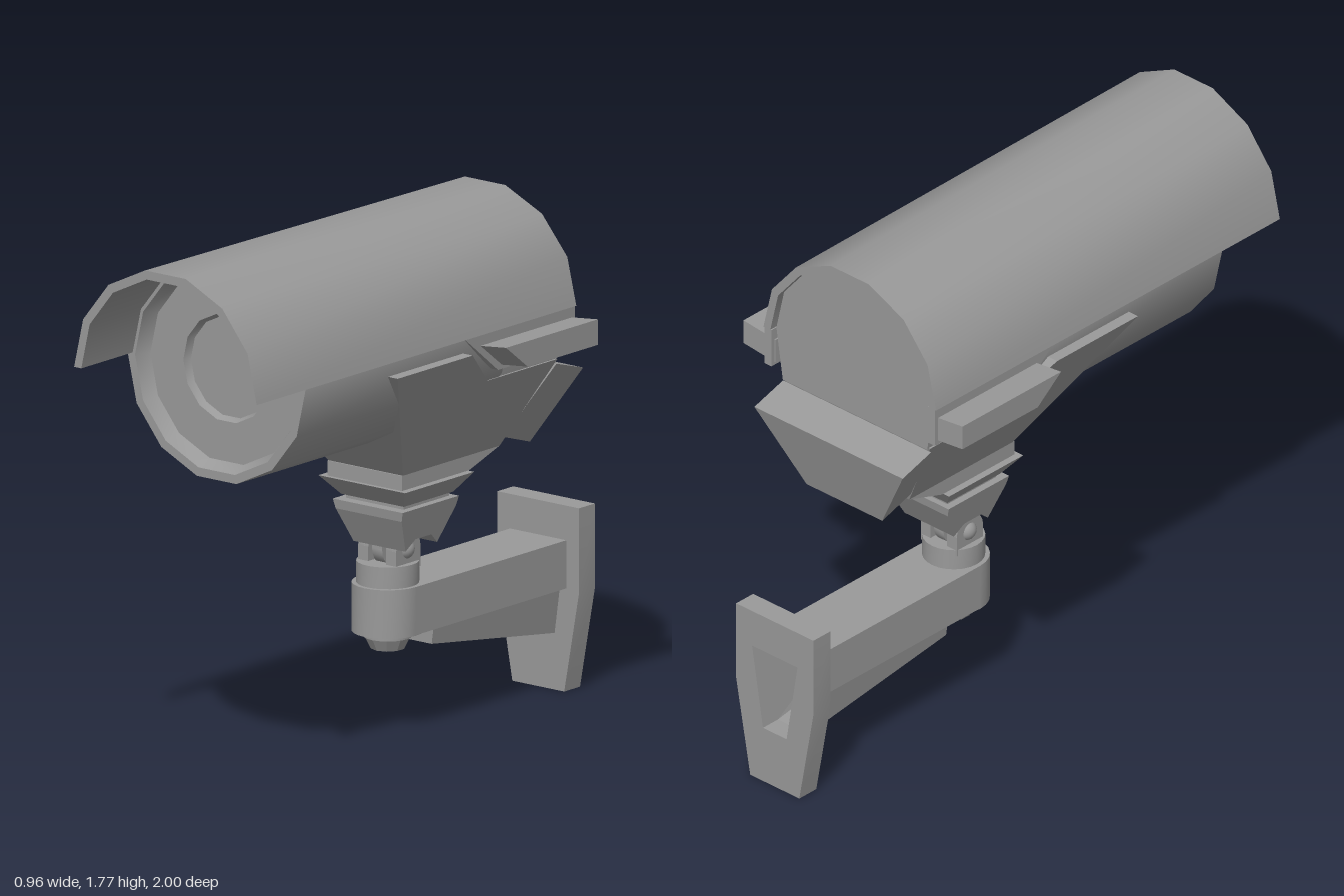
import * as THREE from 'three';
import { toCreasedNormals } from 'three/addons/utils/BufferGeometryUtils.js';

const mat = new THREE.MeshStandardMaterial({ color: 0x999999 });
const matDouble = new THREE.MeshStandardMaterial({ color: 0x999999, side: THREE.DoubleSide });
const AXIS_Y = 1.39;   // height of the housing axis
const ARM_X = -0.025;  // the wall arm sits slightly off centre
const JOINT_Z = -0.157;

const shapeOf = pts => new THREE.Shape(pts.map(p => new THREE.Vector2(p[0], p[1])));
const crease = g => toCreasedNormals(g, 0.55);

// Side outline of [z, y] points, spanning x0(y, z)..x1(y, z)
function sideProfile(pts, x0, x1) {
  const g = new THREE.ExtrudeGeometry(shapeOf(pts), { depth: 1, bevelEnabled: false });
  g.rotateY(-Math.PI / 2);
  const p = g.attributes.position;
  for (let i = 0; i < p.count; i++) {
    const y = p.getY(i), z = p.getZ(i);
    p.setX(i, THREE.MathUtils.lerp(x0(y, z), x1(y, z), p.getX(i) + 1));
  }
  g.computeVertexNormals();
  return g;
}
const symmetric = (pts, half) => sideProfile(pts, (y, z) => -half(y, z), half);

// Front outline of [x, y] points, extruded from z0 to z1
function frontProfile(shape, z0, z1) {
  const g = new THREE.ExtrudeGeometry(shape, { depth: z1 - z0, bevelEnabled: false });
  return crease(g.translate(0, 0, z0));
}

// Skin between two equal loops of [x, y, z] points, closed at the second
function loft(a, b) {
  const v = [], n = a.length;
  for (let i = 0; i < n; i++) {
    const j = (i + 1) % n;
    v.push(...a[i], ...a[j], ...b[j], ...a[i], ...b[j], ...b[i]);
  }
  THREE.ShapeUtils.triangulateShape(b.map(p => new THREE.Vector2(p[0], p[1])), [])
    .forEach(t => t.forEach(i => v.push(...b[i])));
  const g = new THREE.BufferGeometry();
  g.setAttribute('position', new THREE.Float32BufferAttribute(v, 3));
  g.computeVertexNormals();
  return g;
}

// Points on the upper half circle, seven facets, from +x round to -x
function arch(r) {
  const pts = [];
  for (let i = 0; i <= 7; i++) {
    const a = Math.PI * i / 7;
    pts.push([r * Math.cos(a), AXIS_Y + 0.005 + r * Math.sin(a)]);
  }
  return pts;
}

export function createModel() {
  const model = new THREE.Group();
  const add = (name, geometry, material = mat) => {
    const m = new THREE.Mesh(geometry, material);
    m.name = name;
    model.add(m);
  };
  const cylinder = (name, rTop, rBottom, y0, y1, sides = 24) =>
    add(name, crease(new THREE.CylinderGeometry(rTop, rBottom, y1 - y0, sides)
      .translate(ARM_X, (y0 + y1) / 2, JOINT_Z)));

  // Camera barrel with stepped front and recessed lens window
  const profile = [[0.37, -0.3], [0.37, 0.74], [0.34, 0.74], [0.317, 0.69],
    [0.18, 0.69], [0.169, 0.665], [0, 0.665]].map(p => new THREE.Vector2(...p));
  const barrel = new THREE.LatheGeometry(profile, 14, Math.PI / 14).rotateX(Math.PI / 2);
  add('barrel', crease(barrel.translate(0, AXIS_Y, 0)), matDouble);

  // Sun shield, its crown dropping slightly towards the back
  const shield = frontProfile(shapeOf([...arch(0.38), ...arch(0.35).reverse()]), -0.62, 1);
  const sp = shield.attributes.position;
  for (let i = 0; i < sp.count; i++) {
    const y = sp.getY(i);
    sp.setY(i, y - 0.03 * (1 - sp.getZ(i)) * (y - AXIS_Y));
  }
  add('sunShield', shield);

  // Rear skirts of the shield and the closed rear body
  for (const s of [-1, 1]) {
    const inner = s * 0.345, outer = s * 0.375;
    add('shieldSkirt', sideProfile(
      [[-0.06, 1.396], [-0.62, 1.396], [-0.62, 1.26], [-0.23, 1.26]],
      () => Math.min(inner, outer), () => Math.max(inner, outer)));
  }
  add('rearBody', frontProfile(
    shapeOf([[0.318, 1.21], ...arch(0.346), [-0.318, 1.21]]), -0.595, -0.25));

  // Side wings with slanted front ends
  for (const s of [-1, 1]) {
    const g = sideProfile([[-0.14, 1.37], [-0.25, 1.285], [-0.605, 1.285], [-0.605, 1.37]],
      () => (s > 0 ? 0.34 : -0.482), () => (s > 0 ? 0.482 : -0.34));
    const p = g.attributes.position;
    for (let i = 0; i < p.count; i++) {
      if (Math.abs(p.getX(i)) < 0.4) p.setY(i, p.getY(i) - 0.015);
    }
    g.computeVertexNormals();
    add('sideWing', g);
  }

  // V-shaped cradle and the tilted box at its back
  add('cradle', symmetric([[0.31, 1.345], [-0.07, 1.345], [-0.235, 1.215], [-0.59, 1.215],
    [-0.505, 0.915], [-0.015, 0.915]], y => 0.155 + (y - 0.915) * 0.57));
  add('rearBox', symmetric([[-0.585, 1.2], [-0.72, 1.16], [-0.645, 0.902], [-0.51, 0.945]],
    (y, z) => 0.326 + (y - 0.3 * (z + 0.585) - 1.2) * 0.57));

  // Neck block, flange and notched socket
  add('neckBlock', symmetric([[-0.01, 0.915], [-0.505, 0.915], [-0.35, 0.865], [-0.01, 0.865]],
    () => 0.155));
  add('neckFlange', symmetric([[0.005, 0.865], [-0.345, 0.865], [-0.3, 0.8], [-0.05, 0.8]],
    y => 0.13 + (y - 0.8) * 0.77));
  add('neckStem', symmetric([[-0.06, 0.8], [-0.29, 0.8], [-0.29, 0.78], [-0.06, 0.78]], () => 0.12));
  add('neckSocket', symmetric([[-0.025, 0.787], [-0.03, 0.755], [-0.085, 0.64], [-0.125, 0.675],
    [-0.205, 0.675], [-0.245, 0.64], [-0.305, 0.755], [-0.31, 0.787]],
    y => 0.108 + (y - 0.64) * 0.255));

  // Hinge knuckles and round-headed pin
  const hingeZ = JOINT_Z - 0.008;
  for (const i of [-1, 0, 1]) {
    const x = ARM_X + i * 0.058;
    add('hingeKnuckle', crease(new THREE.CylinderGeometry(0.062, 0.062, 0.042, 20)
      .rotateZ(Math.PI / 2).translate(x, 0.623, hingeZ)));
    add('hingeLug', new THREE.BoxGeometry(0.042, 0.07, 0.124).translate(x, i ? 0.59 : 0.66, hingeZ));
  }
  add('hingePin', new THREE.CapsuleGeometry(0.036, 0.12, 6, 16)
    .rotateZ(Math.PI / 2).translate(ARM_X, 0.623, hingeZ));

  // Swivel column with a faceted nut underneath
  cylinder('swivelCollar', 0.102, 0.102, 0.5, 0.577);
  cylinder('swivelBody', 0.117, 0.117, 0.343, 0.505);
  cylinder('swivelNeck', 0.08, 0.08, 0.325, 0.345);
  cylinder('swivelNut', 0.078, 0.056, 0.285, 0.328, 10);

  // Arm with a tapering gusset beneath, hollowed from the wall end
  const armLoop = (z, low) => {
    const w = 0.09 - (0.345 - low) * 0.14;
    return [[-0.117, 0.505], [-0.117, 0.345], [-0.09, 0.345], [-w, low],
      [w, low], [0.09, 0.345], [0.117, 0.345], [0.117, 0.505]].map(([x, y]) => [x + ARM_X, y, z]);
  };
  const hollowLoop = (z, low) => [[-0.1, 0.49], [-0.052, low], [0.052, low], [0.1, 0.49]]
    .map(([x, y]) => [x + ARM_X, y, z]);
  add('armShell', loft(armLoop(-0.93, 0.187), armLoop(-0.28, 0.285)), matDouble);
  add('armHollow', loft(hollowLoop(-0.93, 0.2), hollowLoop(-0.34, 0.3)), matDouble);
  add('armHead', new THREE.BoxGeometry(0.234, 0.16, 0.14).translate(ARM_X, 0.425, -0.225));

  // Wall plate, open where the arm is hollow
  const plate = shapeOf([[-0.17, 0.62], [-0.17, 0.34], [-0.108, 0], [0.108, 0], [0.17, 0.34], [0.17, 0.62]]
    .map(([x, y]) => [x + ARM_X, y]));
  plate.holes.push(shapeOf(hollowLoop(0, 0.2)));
  add('wallPlate', frontProfile(plate, -1, -0.92));

  return model;
}
